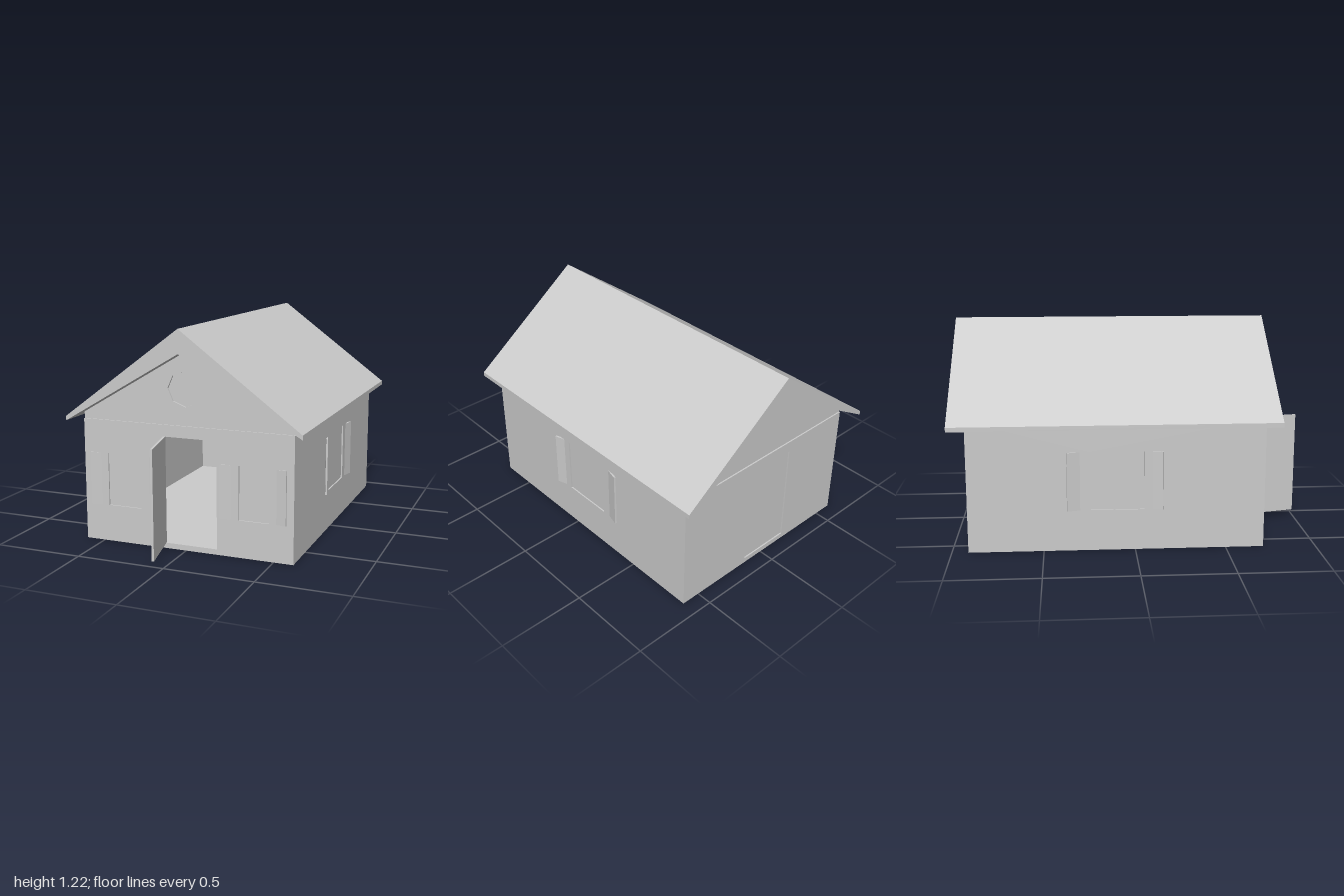
import * as THREE from 'three';

const material = new THREE.MeshStandardMaterial({ color: 0xcccccc, flatShading: true });
const WALL = 0.02;

function addMesh(parent, name, geometry, x = 0, y = 0, z = 0) {
  const mesh = new THREE.Mesh(geometry, material);
  mesh.name = name;
  mesh.position.set(x, y, z);
  parent.add(mesh);
  return mesh;
}

const toPoints = (list) => list.map(([x, y]) => new THREE.Vector2(x, y));
const rect = (x0, x1, y0, y1) => toPoints([[x0, y0], [x1, y0], [x1, y1], [x0, y1]]);

// Flat panel with holes; its front lies at z = 0 and it extends backwards
function panel(outline, holes = [], depth = WALL) {
  const shape = new THREE.Shape(outline);
  holes.forEach((hole) => shape.holes.push(new THREE.Path(hole)));
  return new THREE.ExtrudeGeometry(shape, { depth, bevelEnabled: false }).translate(0, 0, -depth);
}

// Shutter swung out from the window edge, its hinge side sunk into the wall
function addShutter(parent, hinge, outer, y0, y1, sink, rise) {
  const length = Math.hypot(outer - hinge, rise + sink);
  const geometry = new THREE.BoxGeometry(length, y1 - y0, 0.01).translate(0, 0, -0.005);
  const shutter = addMesh(parent, 'shutter', geometry, (hinge + outer) / 2, (y0 + y1) / 2, (rise - sink) / 2);
  shutter.rotation.y = -Math.sign(outer - hinge) * Math.asin((rise + sink) / length);
}

// Wall in its own frame: u to the right, y up, outside towards +z
function addWall(parent, { name, position, turn, u0, u1, top, windows = [], openings = [] }) {
  const wall = new THREE.Group();
  wall.name = name;
  wall.position.set(...position);
  wall.rotation.y = turn;
  parent.add(wall);
  const holes = windows.map((w) => rect(w.x0, w.x1, w.y0, w.y1));
  openings.forEach((o) => holes.push(rect(...o)));
  addMesh(wall, name + 'Panel', panel(rect(u0, u1, 0.03, top), holes));
  for (const w of windows) {
    addMesh(wall, 'windowPane', panel(rect(w.x0, w.x1, w.y0, w.y1), [], 0.008), 0, 0, -0.008);
    addShutter(wall, w.x0, w.outer0, w.y0, w.y1, w.sink, w.rise);
    addShutter(wall, w.x1, w.outer1, w.y0, w.y1, w.sink, w.rise);
  }
  return wall;
}

export function createModel() {
  const house = new THREE.Group();
  house.name = 'house';

  // Floor slab
  addMesh(house, 'floor', new THREE.BoxGeometry(1.22, 0.03, 1.62), 0, 0.015, -0.1);

  // Front wall with two windows and the doorway
  const front = { y0: 0.207, y1: 0.503, sink: 0.006, rise: 0.008 };
  addWall(house, {
    name: 'frontWall', position: [0, 0, 0.71], turn: 0, u0: -0.61, u1: 0.61, top: 0.69,
    windows: [
      { ...front, x0: -0.465, x1: -0.265, outer0: -0.57, outer1: -0.148 },
      { ...front, x0: 0.305, x1: 0.473, outer0: 0.2, outer1: 0.568 },
    ],
    openings: [[-0.133, 0.18, 0.0301, 0.625]],
  });

  // Back wall with a closed, slightly recessed door
  const backWall = addWall(house, {
    name: 'backWall', position: [0, 0, -0.91], turn: Math.PI, u0: -0.61, u1: 0.61, top: 0.69,
    openings: [[-0.133, 0.18, 0.0301, 0.625]],
  });
  addMesh(backWall, 'backDoor', panel(rect(-0.133, 0.18, 0.03, 0.625), [], 0.01), 0, 0, -0.008);

  // Side walls, mirrored, each with one window
  const side = { y0: 0.228, y1: 0.553, sink: 0.013, rise: 0.018 };
  addWall(house, {
    name: 'leftWall', position: [0.61, 0, 0], turn: Math.PI / 2, u0: -0.69, u1: 0.89, top: 0.725,
    windows: [{ ...side, x0: -0.05, x1: 0.25, outer0: -0.15, outer1: 0.37 }],
  });
  addWall(house, {
    name: 'rightWall', position: [-0.61, 0, 0], turn: -Math.PI / 2, u0: -0.89, u1: 0.69, top: 0.725,
    windows: [{ ...side, x0: -0.25, x1: 0.05, outer0: -0.37, outer1: 0.15 }],
  });

  // Open front door
  const hinge = new THREE.Vector2(-0.127, 0.7);
  const edge = new THREE.Vector2(-0.058, 1.0);
  const door = addMesh(house, 'frontDoor', new THREE.BoxGeometry(0.012, 0.595, hinge.distanceTo(edge)),
    (hinge.x + edge.x) / 2, 0.3275, (hinge.y + edge.y) / 2);
  door.rotation.y = Math.atan2(edge.x - hinge.x, edge.y - hinge.y);

  // Gables, set back a little; the front one has an eight-sided window
  const gable = toPoints([[-0.61, 0.69], [0.61, 0.69], [0.61, 0.728], [0, 1.085], [-0.61, 0.728]]);
  const octagon = Array.from({ length: 8 }, (_, i) => {
    const a = (i * Math.PI) / 4;
    return new THREE.Vector2(0.102 * Math.cos(a), 0.888 + 0.097 * Math.sin(a));
  });
  addMesh(house, 'frontGable', panel(gable, [octagon]), 0, 0, 0.702);
  addMesh(house, 'gableWindow', panel(octagon, [], 0.008), 0, 0, 0.692);
  addMesh(house, 'backGable', panel(gable), 0, 0, -0.882);

  // Roof, thicker towards the ridge
  const roof = toPoints([[-0.675, 0.688], [0, 1.085], [0.675, 0.688], [0.675, 0.713], [0, 1.215], [-0.675, 0.713]]);
  addMesh(house, 'roof', panel(roof, [], 1.79), 0, 0, 0.79);

  return house;
}
